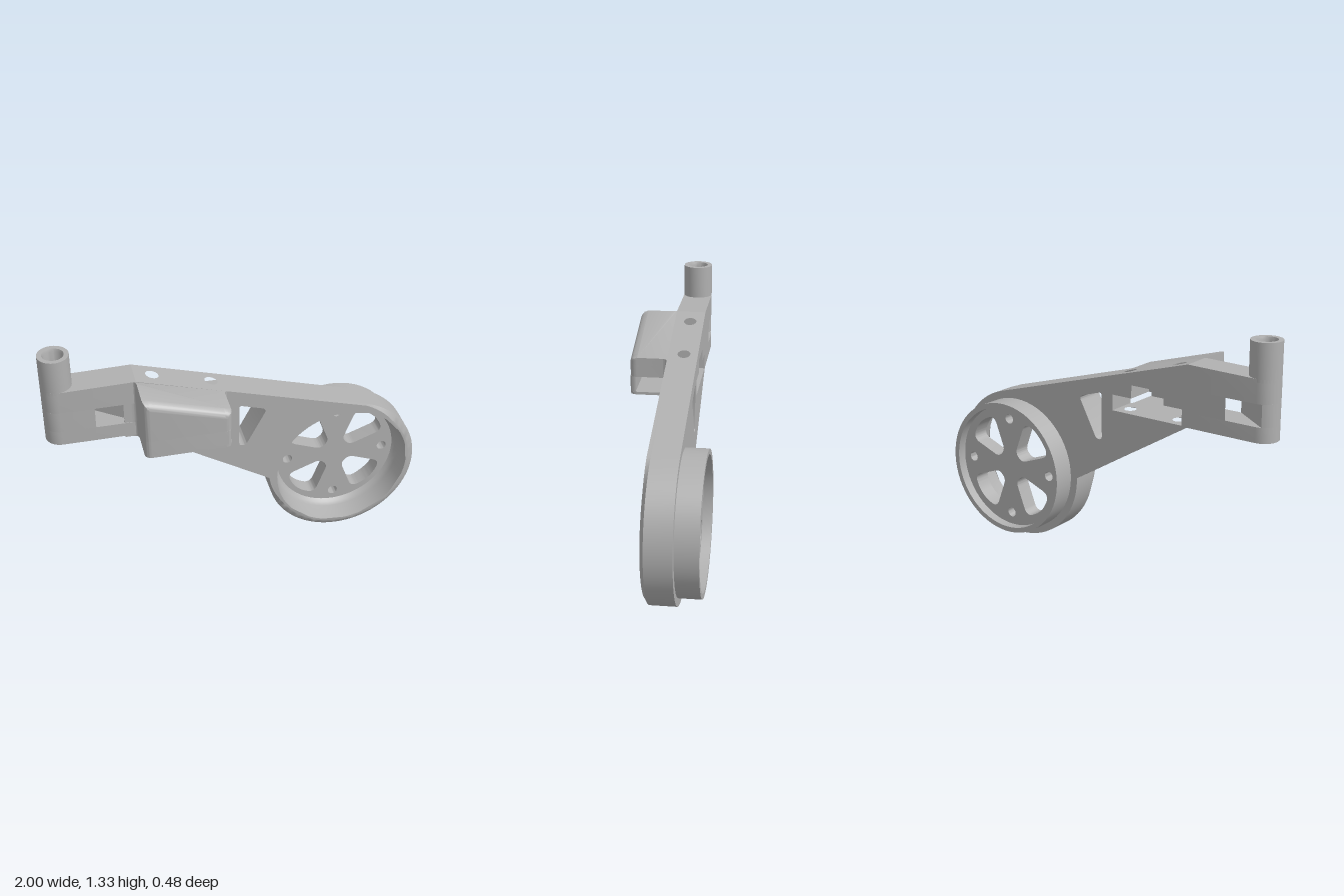
import * as THREE from 'three';
import { toCreasedNormals } from 'three/addons/utils/BufferGeometryUtils.js';

const BACK = -0.12, FRONT = 0.04;          // arm thickness in z
const HUB = { x: 0.585, y: 0.415, r: 0.415 };
const POST = { x: -0.92, z: -0.04, r: 0.08 };

// Sloping top and bottom edges of the arm
const top = x => x < -0.53 ? 1.165 + (x + 0.53) * 0.02 : 1.165 - 0.285 * (x + 0.53);
const bottom = x => x < -0.53 ? 0.84 : 0.84 - 0.606 * (x + 0.53);

// Outline from [x, y, cornerRadius] points
function rounded(points, PathType = THREE.Shape) {
  const path = new PathType();
  const n = points.length;
  points.forEach(([x, y, r = 0], i) => {
    const toward = ([px, py]) => {
      const l = Math.hypot(px - x, py - y) || 1;
      return [x + (px - x) * r / l, y + (py - y) * r / l];
    };
    const a = toward(points[(i + n - 1) % n]);
    const b = toward(points[(i + 1) % n]);
    if (i === 0) path.moveTo(...a); else path.lineTo(...a);
    if (r) path.quadraticCurveTo(x, y, ...b);
  });
  path.closePath();
  return path;
}

const circle = (x, y, r) => new THREE.Path().absarc(x, y, r, 0, Math.PI * 2, true);

function arc(cx, cy, r, from, to, n) {
  return Array.from({ length: n + 1 }, (_, i) => {
    const a = from + (to - from) * i / n;
    return [cx + r * Math.cos(a), cy + r * Math.sin(a)];
  });
}

export function createModel() {
  const model = new THREE.Group();
  model.name = 'wheelArm';
  const grey = new THREE.MeshStandardMaterial({ color: 0xb0b0b0 });
  grey.name = 'grey plastic';

  function add(name, geometry) {
    const mesh = new THREE.Mesh(toCreasedNormals(geometry, 0.6), grey);
    mesh.name = name;
    model.add(mesh);
    return mesh;
  }

  // Extrude a shape by 1, then place each vertex by a rule (x, y, t)
  function mapped(shape, steps, rule) {
    const g = new THREE.ExtrudeGeometry(shape, { depth: 1, steps, bevelEnabled: false, curveSegments: 12 });
    const p = g.attributes.position;
    for (let i = 0; i < p.count; i++) p.setXYZ(i, ...rule(p.getX(i), p.getY(i), p.getZ(i)));
    return g;
  }

  // Horizontal slab: plan of [x, z, radius] points between two heights
  const height = (f, x) => typeof f === 'function' ? f(x) : f;
  function slab(name, plan, low, high, holes = []) {
    const shape = rounded(plan.map(([x, z, r]) => [x, -z, r]));
    holes.forEach(([x, z, r]) => shape.holes.push(circle(x, -z, r)));
    add(name, mapped(shape, 1, (x, y, t) => {
      const lo = height(low, x);
      return [x, lo + (height(high, x) - lo) * t, -y];
    }));
  }
  const rect = (x0, x1, z0 = BACK, z1 = FRONT) => [[x0, z0], [x1, z0], [x1, z1], [x0, z1]];

  // End block with a round end, vertical bore and diagonal slot
  const bore = [[POST.x, POST.z, 0.035]];
  const endArc = to => arc(POST.x, POST.z, POST.r, Math.PI / 2, to, 14);
  const blockPlan = [...endArc(Math.PI * 1.5), [-0.53, BACK], [-0.53, FRONT]];
  slab('endBlockBottom', blockPlan, 0.84, 0.92, bore);
  slab('endBlockTip', [...endArc(Math.PI * 1.38), [-0.745, FRONT]], 0.92, 1.035, bore);
  slab('endBlockRoot', [[-0.53, FRONT], [-0.75, BACK], [-0.53, BACK]], 0.92, 1.035);
  slab('endBlockTop', blockPlan, 1.035, top, bore);

  // Hollow post
  const post = add('post', new THREE.LatheGeometry(
    [[0.08, 1.14], [0.08, 1.335], [0.055, 1.335], [0.05, 1.32], [0.05, 1.2], [0.035, 1.19], [0.035, 1.14]]
      .map(p => new THREE.Vector2(...p)), 32));
  post.position.set(POST.x, 0, POST.z);

  // Arm around the stepped pocket, pierced by two vertical holes
  const JOIN = -0.03;
  const hole1 = [-0.435, -0.045, 0.034], hole2 = [-0.13, -0.045, 0.034];
  slab('armBottom', rect(-0.53, JOIN), bottom, 0.845, [hole1, hole2]);
  slab('pocketEnd', rect(-0.53, -0.5), 0.84, 0.93);
  slab('pocketEnd', rect(-0.07, JOIN), 0.84, 0.93);
  slab('pocketStep', rect(-0.53, -0.39), 0.93, 1.0, [hole1]);
  slab('pocketStep', rect(-0.19, JOIN), 0.93, 1.0, [hole2]);
  slab('armTop', rect(-0.53, JOIN), 1.0, top, [hole1, hole2]);

  // Housing on the front, open at its lower right end
  const r = 0.04, zMax = 0.24;
  const housing = [[-0.6, 0.037], [-0.53, 0.037, 0.03], [-0.53, zMax, r], [-0.08, zMax, r],
    [-0.08, 0.037, 0.03], [-0.04, 0.037], [-0.04, 0.02], [-0.6, 0.02]];
  slab('housingFloor', housing, 0.83, 0.845);
  slab('housingWall', [[-0.6, 0.037], [-0.53, 0.037, 0.03], [-0.53, zMax, r], [-0.085, zMax, 0.025],
    [-0.085, 0.21], [-0.5, 0.21], [-0.5, 0.02], [-0.6, 0.02]], 0.845, 0.93);
  slab('housingBody', housing.slice(0, 6).concat([[-0.04, 0.036], [-0.6, 0.036]]), 0.93, x => top(x) - r);
  // Rounded front edge of the housing roof
  add('housingRoof', mapped(rounded(housing.map(([x, z, c]) => [x, -z, c])), 6, (x, y, t) => {
    const inset = r * (1 - Math.sqrt(Math.max(0, 1 - t * t)));
    return [x, top(x) - r * (1 - t), Math.min(-y, zMax - inset)];
  }));

  // Arm plate and hub rim with a triangular window
  const a0 = Math.PI, a1 = Math.PI * 2 + 1.293;
  const plate = rounded([[JOIN, top(JOIN)], [JOIN, bottom(JOIN)],
    ...arc(HUB.x, HUB.y, HUB.r, a0, a1, 60)]);
  plate.holes.push(new THREE.Path(arc(HUB.x, HUB.y, 0.372, 0, Math.PI * 2, 64)
    .map(p => new THREE.Vector2(...p))));
  plate.holes.push(rounded([[0, 0.93, 0.02], [0.15, 0.885, 0.03], [0.035, 0.665, 0.025], [0, 0.672, 0.015]], THREE.Path));
  add('armPlate', mapped(plate, 1, (x, y, t) => [x, y, BACK + t * (0.02 - BACK)]));
  // Front layer, chamfered round the rim
  add('armFace', mapped(plate, 1, (x, y, t) => {
    const dx = x - HUB.x, dy = y - HUB.y;
    let a = Math.atan2(dy, dx);
    if (a < 1.3) a += Math.PI * 2;
    const onRim = Math.abs(Math.hypot(dx, dy) - HUB.r) < 0.003;
    const fade = Math.min(1, Math.max(0, Math.min(a - a0, a1 - a)) * 2);
    const k = onRim ? 1 - 0.075 * fade * t : 1;
    return [HUB.x + dx * k, HUB.y + dy * k, 0.02 + t * (FRONT - 0.02)];
  }));

  // Hub ring with a tapered bore in front and a shallow recess behind
  const ring = new THREE.LatheGeometry(
    [[0.335, -0.19], [0.345, -0.19], [0.345, -0.24], [0.373, -0.24], [0.373, FRONT], [0.371, FRONT],
      [0.357, -0.06], [0.35, -0.085], [0.335, -0.1]].map(p => new THREE.Vector2(...p)), 64);
  ring.rotateX(Math.PI / 2);
  add('hubRing', ring).position.set(HUB.x, HUB.y, 0);

  // Spoked hub plate: four windows and four screw holes
  const disc = new THREE.Shape(arc(0, 0, 0.347, 0, Math.PI * 2, 64).slice(0, -1).map(p => new THREE.Vector2(...p)));
  const windowPoints = [[0.04, 0.085, 0.03], [0.085, 0.04, 0.03], [0.275, 0.112, 0.05],
    [0.222, 0.222, 0.06], [0.112, 0.275, 0.05]];
  for (let i = 0; i < 4; i++) {
    const a = i * Math.PI / 2, c = Math.cos(a), s = Math.sin(a);
    disc.holes.push(rounded(windowPoints.map(([x, y, q]) => [x * c - y * s, x * s + y * c, q]), THREE.Path));
    disc.holes.push(circle(0.275 * c, 0.275 * s, 0.027));
  }
  add('hubPlate', mapped(disc, 1, (x, y, t) => [x, y, -0.19 + 0.09 * t])).position.set(HUB.x, HUB.y, 0);

  return model;
}
